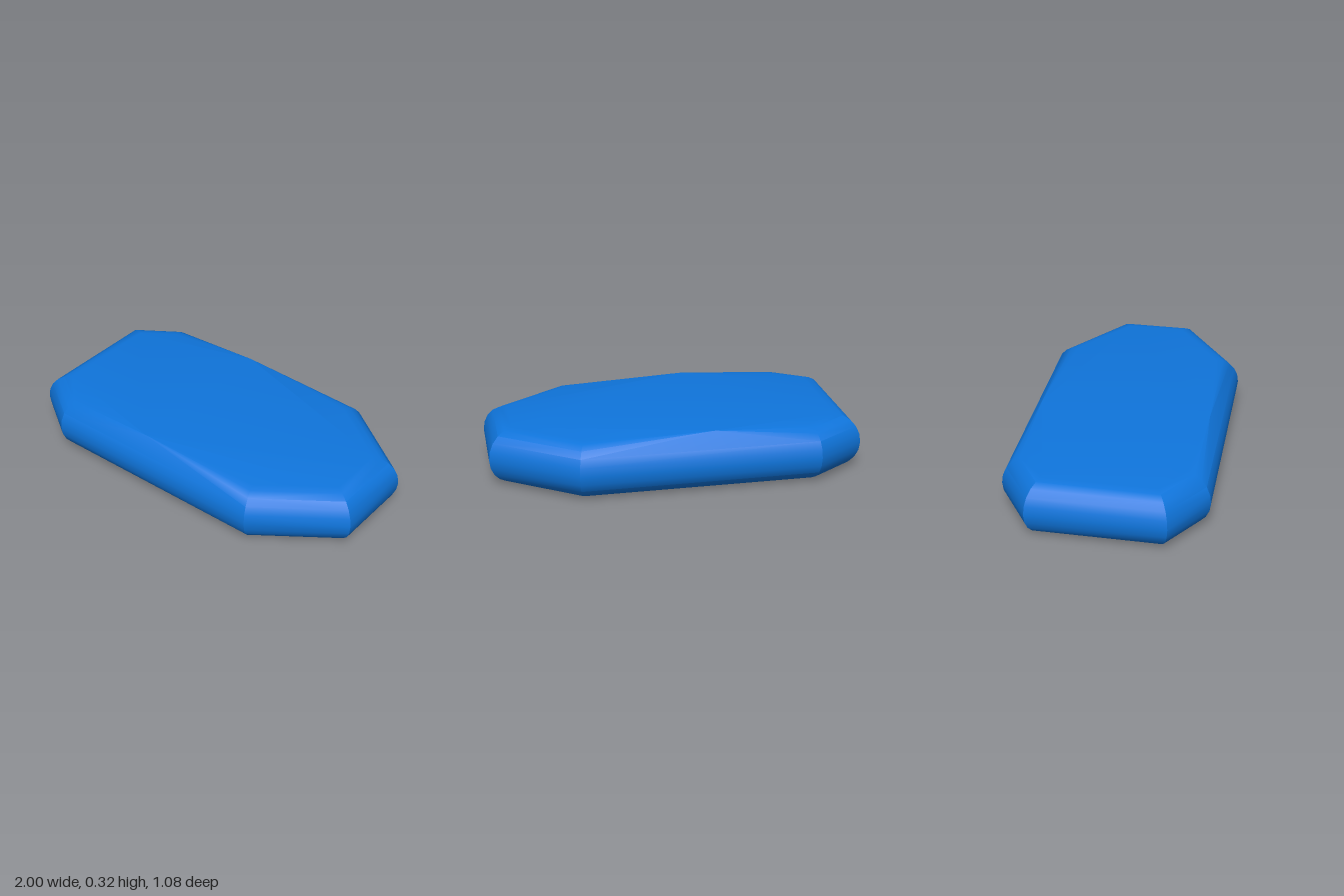
import * as THREE from 'three';
import { ConvexGeometry } from 'three/addons/geometries/ConvexGeometry.js';
import { toCreasedNormals } from 'three/addons/utils/BufferGeometryUtils.js';

const blue = new THREE.MeshStandardMaterial({ color: 0x0f75dc });
blue.name = 'blue';

// Widest outline of the slab, counter-clockwise in (x, z)
const half = [[1, 0.225], [0.56, 0.54], [-0.73, 0.54], [-1, 0.36]];
const outline = [...half, ...half.map(([x, z]) => [x, -z]).reverse()]
  .map(([x, z]) => new THREE.Vector2(x, z));

// Direction in which each corner moves when all edges are inset by 1
const mitres = outline.map((p, i) => {
  const n = outline.length;
  const normal = (a, b) => new THREE.Vector2(a.y - b.y, b.x - a.x).normalize();
  const n1 = normal(outline[(i + n - 1) % n], p);
  const n2 = normal(p, outline[(i + 1) % n]);
  return n1.clone().add(n2).divideScalar(1 + n1.dot(n2));
});

export function createModel() {
  const group = new THREE.Group();
  group.name = 'roundedSlab';

  // Rounded rim: the outline is inset along a half-round profile
  const points = [];
  const steps = 10, inset = 0.13, radius = 0.1525;
  for (let s = 0; s <= steps; s++) {
    const a = (s / steps - 0.5) * Math.PI;
    const d = inset * (1 - Math.cos(a));
    const y = radius * (1 + Math.sin(a));
    outline.forEach((p, i) => points.push(
      new THREE.Vector3(p.x + mitres[i].x * d, y, p.y + mitres[i].y * d)));
  }

  // Low ridge across the top
  for (const z of [0.46, -0.46]) points.push(new THREE.Vector3(-0.165, 0.325, z));

  const body = new THREE.Mesh(
    toCreasedNormals(new ConvexGeometry(points), THREE.MathUtils.degToRad(28)), blue);
  body.name = 'body';
  group.add(body);
  return group;
}
